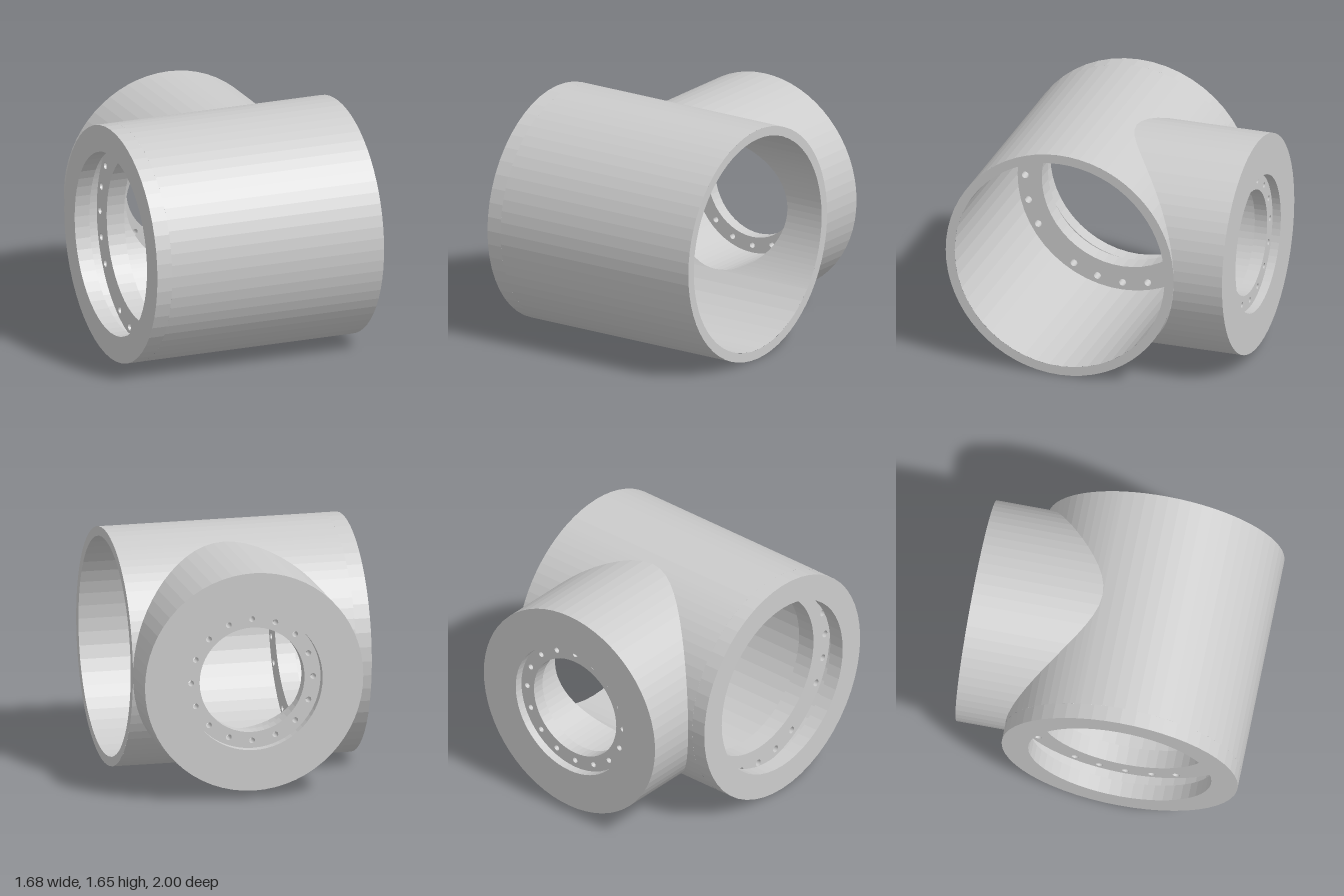
import * as THREE from 'three';

const CY = 0.825, CZ = 0.175;        // main axis (runs along x)
const R_OUT = 0.825, R_BORE = 0.76;  // main pipe radii
const BX = 0.07, B_OUT = 0.77, B_BORE = 0.483; // branch axis and radii
const X0 = -0.845, X1 = 0.84, LIP = 0.11, Z_BACK = -1;

const material = new THREE.MeshStandardMaterial({ color: 0xcccccc, flatShading: true });

// Ruled surface between pairs of points; faces the axis unless outward.
function ruled(strips, outward) {
  const pos = [];
  for (const rows of strips) {
    for (let i = 0; i < rows.length - 1; i++) {
      const [a, b] = rows[i], [d, c] = rows[i + 1];
      const quad = outward ? [a, c, b, a, d, c] : [a, b, c, a, c, d];
      quad.forEach((p) => pos.push(...p));
    }
  }
  const g = new THREE.BufferGeometry();
  g.setAttribute('position', new THREE.Float32BufferAttribute(pos, 3));
  g.computeVertexNormals();
  return g;
}

// Main pipe surface along x, with the round branch opening cut in its back.
function mainSkin(r, holeR, xa, xb, outward) {
  const at = (x, a) => [x, CY + r * Math.sin(a), CZ - r * Math.cos(a)];
  const left = [], right = [], rest = [];
  const n = 32, m = 40, edge = Math.asin(holeR / r);
  for (let i = 0; i <= n; i++) {
    const t = -Math.PI / 2 + (i / n) * Math.PI;
    const a = Math.asin((holeR * Math.sin(t)) / r), half = holeR * Math.cos(t);
    left.push([at(xa, a), at(BX - half, a)]);
    right.push([at(BX + half, a), at(xb, a)]);
  }
  for (let i = 0; i <= m; i++) {
    const a = edge + (i / m) * 2 * (Math.PI - edge);
    rest.push([at(xa, a), at(xb, a)]);
  }
  return ruled([left, right, rest], outward);
}

// Branch surface along z, ending on the main pipe surface of radius mainR.
function branchSkin(r, mainR, outward) {
  const rows = [], n = 64;
  for (let i = 0; i <= n; i++) {
    const t = (i / n) * 2 * Math.PI;
    const x = BX + r * Math.cos(t), dy = r * Math.sin(t);
    rows.push([[x, CY + dy, Z_BACK], [x, CY + dy, CZ - Math.sqrt(mainR * mainR - dy * dy)]]);
  }
  return ruled([rows], outward);
}

// Flat ring extruded along z, with bolt holes at the given angles.
function flange(rOut, rIn, depth, boltR = 0, holeR = 0, angles = []) {
  const s = new THREE.Shape().absarc(0, 0, rOut, 0, Math.PI * 2, false);
  s.holes.push(new THREE.Path().absarc(0, 0, rIn, 0, Math.PI * 2, true));
  for (const a of angles) {
    s.holes.push(new THREE.Path().absarc(boltR * Math.cos(a), boltR * Math.sin(a), holeR, 0, Math.PI * 2, true));
  }
  return new THREE.ExtrudeGeometry(s, { depth, bevelEnabled: false, curveSegments: 26 });
}

export function createModel() {
  const group = new THREE.Group();
  const add = (name, geometry) => {
    const mesh = new THREE.Mesh(geometry, material);
    mesh.name = name;
    group.add(mesh);
    return mesh;
  };
  const alongX = (g, x) => g.rotateY(Math.PI / 2).translate(x, CY, CZ);

  // Main pipe
  add('mainOuterWall', mainSkin(R_OUT, B_OUT, X0 + LIP, X1, true));
  add('mainBore', mainSkin(R_BORE, B_BORE, X0 + LIP, X1, false));
  add('mainOpenRim', alongX(new THREE.RingGeometry(R_BORE, R_OUT, 64), X1));
  add('mainEndLip', alongX(flange(R_OUT, 0.64, LIP), X0));

  // Bolt flange inside the main pipe: 15 degree spacing, diagonals left out
  const mainAngles = [];
  for (let i = 0; i < 24; i++) if (i % 6 !== 3) mainAngles.push((i * Math.PI) / 12);
  add('mainBoltFlange', alongX(flange(R_BORE, 0.585, 0.13, 0.705, 0.025, mainAngles), -0.63));

  // Branch pipe
  add('branchOuterWall', branchSkin(B_OUT, R_OUT, true));
  add('branchBore', branchSkin(B_BORE, R_BORE, false));
  add('branchEndFace', new THREE.RingGeometry(B_BORE, B_OUT, 64).rotateY(Math.PI).translate(BX, CY, Z_BACK));

  // Bolt flange recessed in the branch
  const branchAngles = Array.from({ length: 16 }, (_, i) => (i * Math.PI) / 8);
  add('branchBoltFlange', flange(B_BORE, 0.37, 0.09, 0.43, 0.02, branchAngles).translate(BX, CY, -0.94));

  return group;
}
